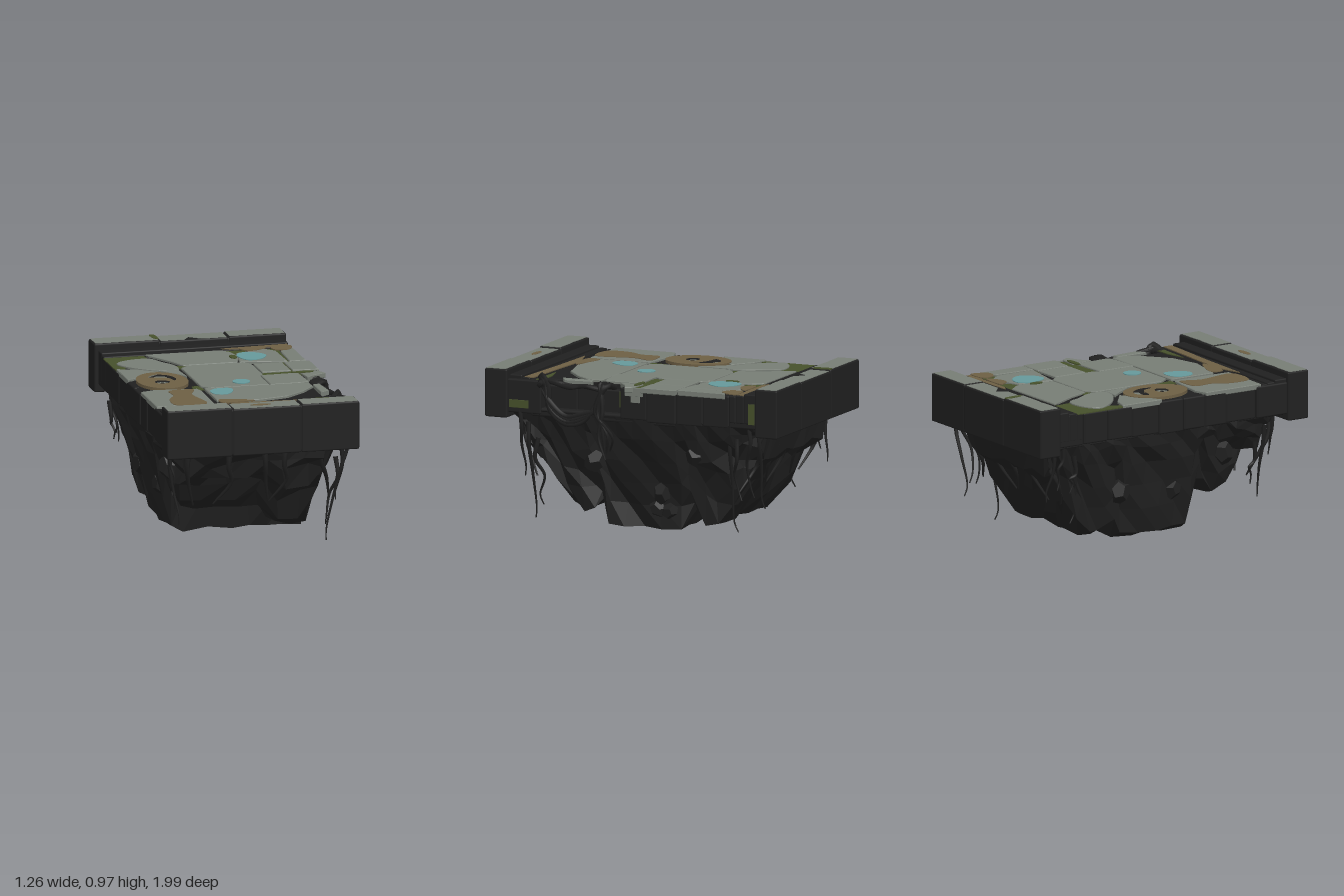
import * as THREE from 'three';
import { RoundedBoxGeometry } from 'three/addons/geometries/RoundedBoxGeometry.js';

const mat = (name, color) => Object.assign(new THREE.MeshStandardMaterial({ color }), { name });

export function createModel() {
  const rock = mat('dark rock', 0x202020), stone = mat('grey stone', 0x777d75);
  const moss = mat('moss', 0x46502b), clay = mat('brown earth', 0x6d5f44), water = mat('pale blue', 0x66999b);
  const model = new THREE.Group();
  model.name = 'floatingBridge';
  let seed = 11;
  const rnd = () => (seed = (seed * 16807) % 2147483647) / 2147483647;
  const jit = (a) => (rnd() - 0.5) * 2 * a;
  const add = (name, geo, material) => {
    const m = new THREE.Mesh(geo, material);
    m.name = name;
    model.add(m);
    return m;
  };
  const box = (name, x0, x1, y0, y1, z0, z1, material, r = 0.008) =>
    add(name, new RoundedBoxGeometry(x1 - x0, y1 - y0, z1 - z0, 1, r), material)
      .position.set((x0 + x1) / 2, (y0 + y1) / 2, (z0 + z1) / 2);

  // outlines are [x, z] pairs lying in the ground plane
  const outline = (pts, smooth) => {
    let p = pts.map(([x, z]) => new THREE.Vector3(x, -z, 0));
    if (smooth) p = new THREE.CatmullRomCurve3(p, true).getPoints(pts.length * 5).slice(0, -1);
    return p.map((v) => new THREE.Vector2(v.x, v.y));
  };
  const slab = (name, shape, y0, y1, material, bevel = 0) => {
    const g = new THREE.ExtrudeGeometry(shape, {
      depth: y1 - y0 - bevel, bevelEnabled: bevel > 0, bevelThickness: bevel,
      bevelSize: bevel, bevelOffset: -bevel, bevelSegments: 1, curveSegments: 24,
    });
    g.rotateX(-Math.PI / 2);
    return add(name, g, material).translateY(y0);
  };
  const patch = (name, pts, top, material, smooth = true) =>
    slab(name, new THREE.Shape(outline(pts, smooth)), top - 0.006, top, material);
  const oval = (x, z, rx, rz, n = 8) => Array.from({ length: n }, (_, i) => {
    const a = (i / n) * Math.PI * 2;
    return [x + rx * Math.cos(a), z + rz * Math.sin(a)];
  });

  // end beams: one solid bar with three slightly uneven blocks and pale worn tops
  const cuts = [-0.63, -0.21, 0.23, 0.6];
  for (const s of [1, -1]) {
    const z0 = s > 0 ? 0.845 : -0.997;
    box('endBeam', -0.625, 0.595, 0.675, 0.968, z0 + 0.003, z0 + 0.149, rock, 0.015);
    for (let i = 0; i < 3; i++) {
      const a = cuts[i], b = cuts[i + 1], top = [0.979, 0.97, 0.975][i];
      box('endBeamBlock', a, b, 0.67, top, z0, z0 + 0.152, rock, 0.01);
      const inner = s * 0.859, outer = s * 0.987, mid = (a + b) / 2;
      const notch = s < 0 && i === 1 ? 0.06 : 0.005;
      patch('endBeamTop', [[a + 0.01, inner], [mid - 0.06, inner], [mid - 0.02, inner + s * notch],
        [mid, inner + s * notch * 0.7], [mid + 0.05, inner], [b - 0.01, inner], [b - 0.01, outer], [a + 0.01, outer]],
      top + 0.003, stone, false);
    }
  }
  patch('beamEarth', oval(-0.015, 0.925, 0.065, 0.02), 0.975, clay);
  patch('beamMoss', [[-0.245, -0.985], [-0.22, -0.99], [-0.215, -0.87], [-0.235, -0.88]], 0.984, moss);

  // deck core and stepped dark bands beside the beams
  box('deckCore', -0.58, 0.47, 0.7, 0.916, -0.85, 0.85, rock);
  box('brokenLedge', 0.4, 0.575, 0.69, 0.745, -0.3, 0.7, rock, 0.015);
  for (const s of [1, -1]) {
    [[0.665, 0.71, 0.92], [0.71, 0.765, 0.926], [0.765, 0.86, 0.938]].forEach(([a, b, y]) =>
      box('deckBand', -0.605, s > 0 ? 0.55 : 0.59, 0.75, y, Math.min(s * a, s * b), Math.max(s * a, s * b), rock));
  }

  // rough blocks along both long sides, broken back on the right
  const edge = [0.85, 0.62, 0.4, 0.24, 0.08, -0.1, -0.3, -0.48, -0.66, -0.85];
  for (let i = 0; i < edge.length - 1; i++) {
    box('leftEdgeBlock', -0.61 + jit(0.008), -0.4, 0.715 + jit(0.01), 0.916, edge[i + 1], edge[i], rock, 0.01);
    const broken = i >= 1 && i <= 3;
    box('rightEdgeBlock', 0.3, (broken ? 0.52 : 0.59) + jit(0.01), 0.715 + jit(0.01),
      broken ? 0.885 : 0.916, edge[i + 1], edge[i], rock, 0.01);
  }
  box('edgeMoss', 0.592, 0.6, 0.74, 0.79, 0.7, 0.83, moss, 0.002);
  box('edgeMoss', 0.594, 0.602, 0.75, 0.88, -0.845, -0.8, moss, 0.002);
  box('edgeMoss', 0.53, 0.58, 0.79, 0.89, 0.078, 0.086, moss, 0.002);
  // pale chipped faces on the broken edge
  box('chippedFace', 0.592, 0.602, 0.87, 0.925, -0.08, 0.04, stone, 0.002);
  box('chippedFace', 0.592, 0.6, 0.83, 0.88, -0.06, 0.0, stone, 0.002);

  // paving stones
  const paving = [
    [[-.34, -.7], [.14, -.7], [.19, -.64], [.21, -.52], [.165, -.375], [-.18, -.37], [-.23, -.5]],
    [[-.61, -.37], [-.5, -.34], [-.37, -.24], [-.45, -.17], [-.61, -.08]],
    [[-.36, -.265], [-.24, -.26], [-.23, -.08], [-.29, -.18]],
    [[-.21, -.31], [-.14, -.362], [.2, -.362], [.24, -.31], [.24, -.03], [.215, 0], [.215, .245], [-.16, .245], [-.21, .18]],
    [[.215, -.6], [.3, -.63], [.4, -.68], [.47, -.6], [.475, -.32], [.18, -.37]],
    [[.495, -.59], [.59, -.64], [.59, -.315], [.485, -.315]],
    [[.25, -.305], [.435, -.305], [.435, -.08], [.25, -.08]],
    [[.445, -.305], [.61, -.305], [.61, -.07], [.445, -.08]],
    [[.22, .005], [.46, -.005], [.47, .23], [.41, .25], [.22, .255]],
    [[.475, -.03], [.6, -.02], [.628, .03], [.54, .07], [.49, .12]],
    [[-.61, .25], [-.52, .22], [-.25, .25], [-.235, .3], [-.24, .66], [-.61, .655]],
    [[-.205, .255], [.46, .26], [.465, .35], [.38, .46], [.25, .57], [.05, .62], [-.205, .57]],
    [[.475, .31], [.52, .3], [.535, .48], [.475, .52]],
  ];
  paving.forEach((p, i) => slab('pavingStone', new THREE.Shape(outline(p)), 0.9, 0.93 + (i % 3) * 0.001, stone, 0.004));
  const round = [[-.57, -.52], [-.47, -.59], [-.34, -.59], [-.29, -.49], [-.23, -.38], [-.24, -.27], [-.34, -.27], [-.5, -.39]];
  slab('roundedPavingStone', new THREE.Shape(outline(round, true)), 0.9, 0.931, stone, 0.004);

  // moss filling the joints
  [[[-.61, -.705], [-.35, -.705], [-.34, -.58], [-.5, -.53], [-.56, -.36], [-.61, -.36]],
    [[.14, -.7], [.3, -.7], [.28, -.6], [.18, -.6]], [[.43, -.69], [.5, -.69], [.49, -.3], [.44, -.3]],
    [[-.23, -.4], [-.18, -.39], [-.16, -.34], [-.24, -.32]], [[.24, -.08], [.58, -.08], [.57, .02], [.24, .0]],
    [[-.26, .15], [-.22, .14], [-.2, .25], [-.27, .25]], [[.432, -.3], [.448, -.3], [.448, -.06], [.432, -.06]],
    [[.27, .66], [.4, .625], [.54, .625], [.55, .67]],
  ].forEach((p) => patch('mossPatch', p, 0.921, moss, false));
  patch('mossSpot', oval(0.17, -0.5, 0.022, 0.045), 0.935, moss);
  patch('mossSpot', oval(0.49, -0.01, 0.07, 0.018), 0.935, moss);

  // brown earth and blue patches on the paving
  patch('earthPatch', [[-.44, .28], [-.35, .26], [-.28, .27], [-.32, .4], [-.29, .65], [-.48, .65], [-.49, .5], [-.44, .4]], 0.934, clay);
  patch('earthPatch', [[-.19, .57], [-.1, .58], [.02, .64], [-.19, .65]], 0.934, clay);
  patch('earthPatch', [[.26, -.7], [.43, -.7], [.4, -.66], [.31, -.63]], 0.934, clay);
  patch('earthPatch', [[.46, -.7], [.59, -.71], [.55, -.6], [.47, -.62]], 0.934, clay);
  patch('earthBand', [[-.28, .715], [-.1, .66], [.3, .68], [.54, .69], [.54, .75], [.1, .725]], 0.93, clay, false);
  patch('earthBand', [[.15, -.74], [.58, -.765], [.58, -.715], [.2, -.715]], 0.93, clay, false);
  patch('bluePatch', [[.2, -.53], [.24, -.59], [.32, -.58], [.38, -.5], [.33, -.41], [.25, -.39], [.21, -.44]], 0.935, water);
  patch('bluePatch', oval(0.06, 0.14, 0.055, 0.057), 0.935, water);
  patch('bluePatch', [[-.19, .34], [-.14, .29], [-.05, .3], [-.05, .37], [-.11, .45], [-.18, .43]], 0.935, water);

  // brown spiral ring with two openings
  const ring = new THREE.Shape(outline(oval(-0.41, 0, 0.16, 0.215, 12), true));
  ring.holes.push(new THREE.Path(outline([[-.48, -.09], [-.42, -.15], [-.35, -.12], [-.315, -.03], [-.335, .02], [-.36, -.05], [-.42, -.075]], true)));
  ring.holes.push(new THREE.Path(outline(oval(-0.42, 0.042, 0.048, 0.042), true)));
  slab('spiralRing', ring, 0.91, 0.935, clay);
  patch('ringInlay', [[-.45, -.11], [-.41, -.145], [-.35, -.12], [-.36, -.09]], 0.925, stone, false);
  patch('ringInlay', oval(-0.42, 0.044, 0.04, 0.037), 0.925, stone);
  patch('ringDot', oval(-0.42, 0.045, 0.012, 0.012), 0.928, rock);

  // hanging rock mass: cross-sections lofted from front to back, [z, lowest y]
  const stations = [[.85, .71], [.82, .58], [.78, .5], [.73, .37], [.66, .35], [.58, .26], [.5, .12], [.42, .07], [.34, .11],
    [.28, .18], [.22, .02], [.12, .01], [0, .01], [-.13, .01], [-.27, .02], [-.33, .13], [-.42, .05], [-.51, .06],
    [-.6, .17], [-.67, .3], [-.74, .42], [-.82, .48], [-.86, .71]];
  const section = [[-.58, 0], [-.57, .14], [-.53, .3], [-.49, .5], [-.46, .72], [-.43, .95], [-.32, 1], [-.18, .98], [-.05, 1],
    [.08, .98], [.2, 1], [.32, .99], [.4, 1], [.415, .8], [.45, .6], [.5, .4], [.55, .2], [.58, 0]];
  const rows = stations.map(([z, low], i) => section.map(([x, drop], j) => {
    const rim = drop === 0 || i === 0 || i === stations.length - 1 ? 0 : 1;
    const trim = z > 0.25 && x < 0.1 ? 0.13 * drop : 0;
    const lift = rim * ((j % 3 === i % 3 ? 0.08 : 0.02) * rnd() * (low < 0.03 ? 0.2 : 1) + trim * Math.min(1, (0.73 - low) * 2));
    const bulge = rim * ((i + j) % 3 === 0 ? -0.03 : 0.008) * Math.sign(x);
    return [x + bulge + rim * jit(0.015), 0.73 - drop * (0.73 - low) + lift, z + rim * jit(0.02)];
  }));
  const tris = [];
  for (let i = 0; i < rows.length - 1; i++)
    for (let j = 0; j < section.length - 1; j++) {
      const [a, b, c, d] = [rows[i][j], rows[i][j + 1], rows[i + 1][j], rows[i + 1][j + 1]];
      tris.push(...a, ...c, ...b, ...b, ...c, ...d);
    }
  const mass = new THREE.BufferGeometry();
  mass.setAttribute('position', new THREE.Float32BufferAttribute(tris, 3));
  mass.computeVertexNormals();
  add('rockMass', mass, rock);

  // loose boulders set into the flanks
  [[.41, .24, -.13, .06], [.41, .14, -.1, .05], [.41, .13, -.18, .05], [-.44, .3, .1, .06], [-.46, .35, -.3, .07],
    [.45, .42, .3, .07], [.48, .5, -.4, .07], [-.48, .5, .45, .07],
  ].forEach(([x, y, z, r], i) => {
    const m = add('boulder', new THREE.DodecahedronGeometry(r), rock);
    m.position.set(x, y, z);
    m.rotation.set(i, i * 2, i * 3);
    m.scale.y = 1.25;
  });

  // roots: tubes narrowing to a point
  const root = (name, pts, r, tip = 0.25) => {
    const curve = new THREE.CatmullRomCurve3(pts.map((p) => new THREE.Vector3(...p)));
    const n = pts.length * 4, g = new THREE.TubeGeometry(curve, n, r, 5), pos = g.attributes.position, v = new THREE.Vector3();
    for (let i = 0; i < pos.count; i++) {
      const t = Math.floor(i / 6) / n;
      v.fromBufferAttribute(pos, i).lerp(curve.getPointAt(t), t * (1 - tip));
      pos.setXYZ(i, v.x, v.y, v.z);
    }
    add(name, g, rock);
  };
  // hanging roots as [z, start y, end y] on each side
  const hanging = [[.77, .7, .3], [.72, .6, .03], [.66, .5, .12], [-.64, .65, .03], [-.71, .6, .25], [-.78, .7, .27], [-.84, .7, .2]];
  for (const s of [1, -1])
    hanging.forEach(([z, a, b], i) => {
      const x = s * (0.57 - 0.02 * (i % 4)), low = s > 0 ? b : b + 0.15, drift = s * (a - low) * 0.16;
      root('hangingRoot', [[x, a + 0.05, z], [x + 0.01, a - 0.08, z + jit(0.02)], [x - drift * 0.5, (a + low) / 2, z + jit(0.03)],
        [x - drift, low + 0.06, z + jit(0.02)], [x - drift, low, z - 0.01]], 0.016);
    });
  // roots clinging to the front and back faces
  for (const s of [1, -1])
    [-.45, -.18, .03, .18, .42].forEach((x, i) => root('clingingRoot', [[x, .7, s * .82], [x + jit(.02), .56, s * .81],
      [x + jit(.05), .45, s * .76], [x + (i % 2 ? -.08 : .06), .3, s * .69]], 0.022));
  // tangle draped over the broken right edge
  for (let k = 0; k < 4; k++) {
    const o = k * 0.016;
    root('drapedRoot', [[.5, .91, .66 - o], [.56 + o, .95 - o, .62], [.56, .88, .58 + o], [.575, .74 + o, .56], [.58, .66 + o, .45],
      [.575, .68 + o, .34], [.565, .78, .26 - o], [.53, .91, .2 + o]], 0.019, 0.8);
    root('fallingRoot', [[.5, .9, .25 - o * 2], [.57, .92, .22 - o], [.585, .75, .2 + o], [.58, .6, .23 - o * 2], [.57 - o, .45 + o, .2 + jit(.03)]], 0.022);
    root('edgeRoot', [[.53, .88, .22], [.55, .9, .32 + o], [.53 + o, .89, .42], [.56, .91, .5 + o], [.55, .93, .64]], 0.016, 0.8);
  }
  return model;
}
